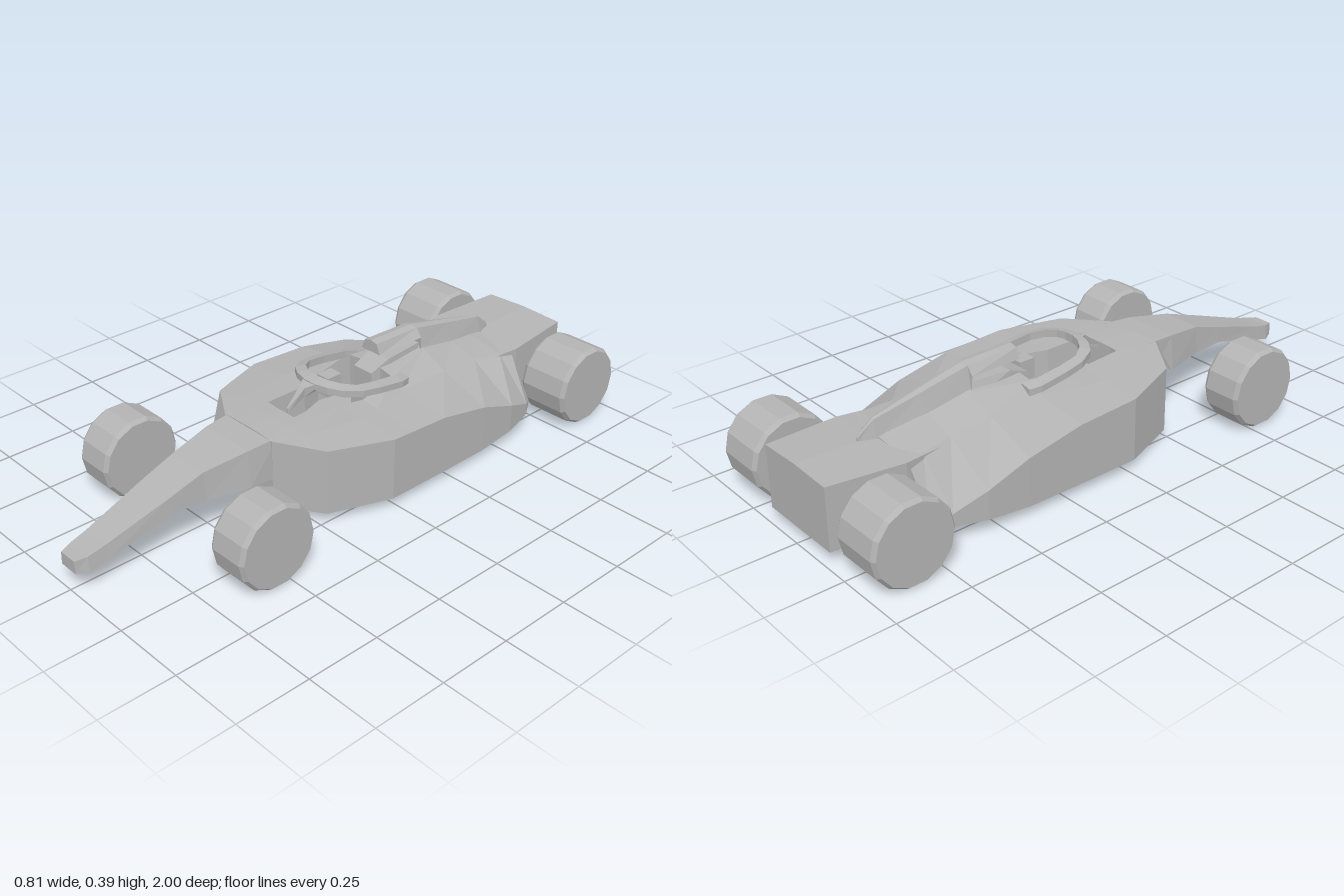
import * as THREE from 'three';

// Skin closed rings of [x, y, z] points, each counter-clockwise seen from the start
function loft(rings) {
  const pos = [];
  const tri = (a, b, c) => pos.push(...a, ...b, ...c);
  const n = rings[0].length;
  for (let i = 0; i < rings.length - 1; i++) {
    for (let j = 0; j < n; j++) {
      const k = (j + 1) % n;
      const a = rings[i][j], b = rings[i][k], c = rings[i + 1][k], d = rings[i + 1][j];
      tri(a, d, c);
      tri(a, c, b);
    }
  }
  const cap = (ring, flip) => {
    const m = [0, 1, 2].map((q) => ring.reduce((s, p) => s + p[q], 0) / n);
    ring.forEach((p, j) => {
      const e = ring[(j + 1) % n];
      flip ? tri(m, e, p) : tri(m, p, e);
    });
  };
  cap(rings[0], false);
  cap(rings[rings.length - 1], true);
  const g = new THREE.BufferGeometry();
  g.setAttribute('position', new THREE.Float32BufferAttribute(pos, 3));
  g.computeVertexNormals();
  return g;
}

// Ring across the car: top and bottom half widths, top and bottom heights, crown
const trap = ([z, wt, wb, yt, yb, crown = 0]) => [
  [wb, yb, z], [wt, yt, z], [0, yt + crown, z], [-wt, yt, z], [-wb, yb, z],
];

// Body ring; a floor height opens the cockpit between the rims
function bodyRing([z, w, yb, ye, wm, ym, wr, yr, yc, open]) {
  const wi = open ? wr - 0.008 : wr * 0.5;
  const yi = open ? yc : (yr + yc) / 2;
  const half = [[w, yb], [w, ye], [wm, ym], [wr, yr], [wi, yi]];
  const left = half.map(([x, y]) => [x, y, z]);
  const right = half.map(([x, y]) => [-x, y, z]).reverse();
  return [[0, 0.04, z], ...left, [0, yc, z], ...right];
}

export function createModel() {
  const car = new THREE.Group();
  car.name = 'raceCar';
  const grey = new THREE.MeshStandardMaterial({ color: 0xb3b3b3 });
  grey.name = 'plainGrey';
  grey.flatShading = true;
  const greyThin = grey.clone();
  greyThin.side = THREE.DoubleSide;
  const add = (name, geometry, material = grey) => {
    const m = new THREE.Mesh(geometry, material);
    m.name = name;
    car.add(m);
    return m;
  };

  // Main body with side pods, cockpit well and engine cover
  const sections = [
    [0.325, 0.112, 0.04, 0.275, 0.09, 0.277, 0.05, 0.279, 0.28],
    [0.23, 0.257, 0.04, 0.265, 0.15, 0.274, 0.08, 0.278, 0.28],
    [0.182, 0.275, 0.04, 0.263, 0.16, 0.273, 0.077, 0.277, 0.278],
    [0.178, 0.277, 0.04, 0.263, 0.16, 0.273, 0.077, 0.277, 0.18, 1],
    [0.02, 0.335, 0.04, 0.256, 0.19, 0.268, 0.085, 0.271, 0.18, 1],
    [-0.06, 0.335, 0.04, 0.252, 0.18, 0.266, 0.11, 0.272, 0.18, 1],
    [-0.198, 0.335, 0.04, 0.245, 0.145, 0.268, 0.1, 0.302, 0.18, 1],
    [-0.202, 0.335, 0.04, 0.245, 0.145, 0.268, 0.1, 0.302, 0.315],
    [-0.4, 0.332, 0.04, 0.205, 0.15, 0.267, 0.05, 0.313, 0.325],
    [-0.55, 0.325, 0.052, 0.15, 0.15, 0.255, 0.04, 0.285, 0.295],
    [-0.66, 0.3, 0.061, 0.105, 0.165, 0.247, 0.04, 0.267, 0.275],
    [-0.715, 0.265, 0.066, 0.082, 0.17, 0.24, 0.04, 0.257, 0.262],
  ];
  add('body', loft(sections.map(bodyRing)));

  // Tapering nose
  add('nose', loft([
    [0.998, 0.033, 0.035, 0.12, 0.077],
    [0.96, 0.046, 0.052, 0.125, 0.072],
    [0.9, 0.05, 0.056, 0.14, 0.09],
    [0.68, 0.068, 0.072, 0.21, 0.153],
    [0.56, 0.074, 0.08, 0.248, 0.152],
    [0.41, 0.1, 0.112, 0.27, 0.146],
    [0.3, 0.108, 0.112, 0.277, 0.137],
  ].map(trap)));

  // Slanted web between the nose and the right side pod
  const web = new THREE.BufferGeometry();
  web.setAttribute('position', new THREE.Float32BufferAttribute(
    [-0.257, 0.265, 0.23, -0.112, 0.145, 0.405, -0.112, 0.275, 0.325], 3));
  web.computeVertexNormals();
  add('noseWeb', web, greyThin);

  // Square gearbox block at the tail
  add('tailBlock', loft([
    [-0.6, 0.165, 0.165, 0.243, 0.045, 0.01],
    [-0.73, 0.183, 0.183, 0.248, 0.045, 0.008],
    [-0.985, 0.158, 0.158, 0.257, 0.045, 0.006],
  ].map(trap)));

  // Air intake overhanging the driver, running back into a fin
  add('airIntake', loft([
    [-0.2, 0.027, 0.042, 0.39, 0.355, 0.006],
    [-0.388, 0.025, 0.048, 0.386, 0.358, 0.006],
    [-0.392, 0.025, 0.048, 0.385, 0.3, 0.006],
    [-0.55, 0.018, 0.04, 0.35, 0.275, 0.006],
    [-0.72, 0.008, 0.022, 0.312, 0.252, 0.004],
    [-0.775, 0.002, 0.004, 0.268, 0.25, 0.002],
  ].map(trap)));

  // Headrest behind the driver
  add('headrest', loft([
    [-0.165, 0.04, 0.05, 0.3, 0.18],
    [-0.24, 0.045, 0.06, 0.33, 0.18],
    [-0.4, 0.035, 0.06, 0.335, 0.28],
  ].map(trap)));
  for (const s of [1, -1]) {
    add(s > 0 ? 'leftCockpitPad' : 'rightCockpitPad', new THREE.BoxGeometry(0.05, 0.07, 0.06))
      .position.set(s * 0.08, 0.245, -0.09);
  }

  // Safety hoop around the cockpit: outer x, z, inner x, z, top height
  const hoopHalf = [
    [0.138, -0.24, 0.1, -0.24, 0.306],
    [0.152, -0.2, 0.115, -0.2, 0.313],
    [0.152, -0.1, 0.118, -0.1, 0.328],
    [0.145, -0.03, 0.112, -0.03, 0.338],
    [0.115, 0.03, 0.085, 0.01, 0.347],
    [0.07, 0.06, 0.05, 0.032, 0.352],
    [0.02, 0.075, 0.015, 0.04, 0.354],
  ];
  const hoopRing = (s) => ([xo, zo, xi, zi, y]) => [
    [s * xi, y - 0.026, zi], [s * xi, y, zi], [s * xo, y - 0.008, zo], [s * xo, y - 0.03, zo],
  ];
  add('safetyHoop', loft([
    ...hoopHalf.map(hoopRing(1)),
    ...hoopHalf.map(hoopRing(-1)).reverse(),
  ]));

  // Blade-like pillar under the front of the hoop
  add('hoopPillar', loft([
    [0.165, 0.003, 0.004, 0.28, 0.265],
    [0.1, 0.012, 0.008, 0.335, 0.3],
    [0.045, 0.045, 0.03, 0.35, 0.322],
  ].map(trap)));

  // Chamfered tyres
  const wheel = (name, inner, outer, z) => {
    const r = 0.14, h = (outer - inner) / 2, c = 0.01;
    const profile = [[0, -h], [r - c, -h], [r, -h + c * 1.4], [r, h - c * 1.4], [r - c, h], [0, h]];
    const g = new THREE.LatheGeometry(profile.map(([x, y]) => new THREE.Vector2(x, y)), 14);
    g.rotateZ(Math.PI / 2);
    for (const s of [1, -1]) {
      add((s > 0 ? 'left' : 'right') + name, g).position.set(s * (inner + outer) / 2, r, z);
    }
  };
  wheel('FrontWheel', 0.257, 0.402, 0.548);
  wheel('RearWheel', 0.22, 0.404, -0.86);

  return car;
}
